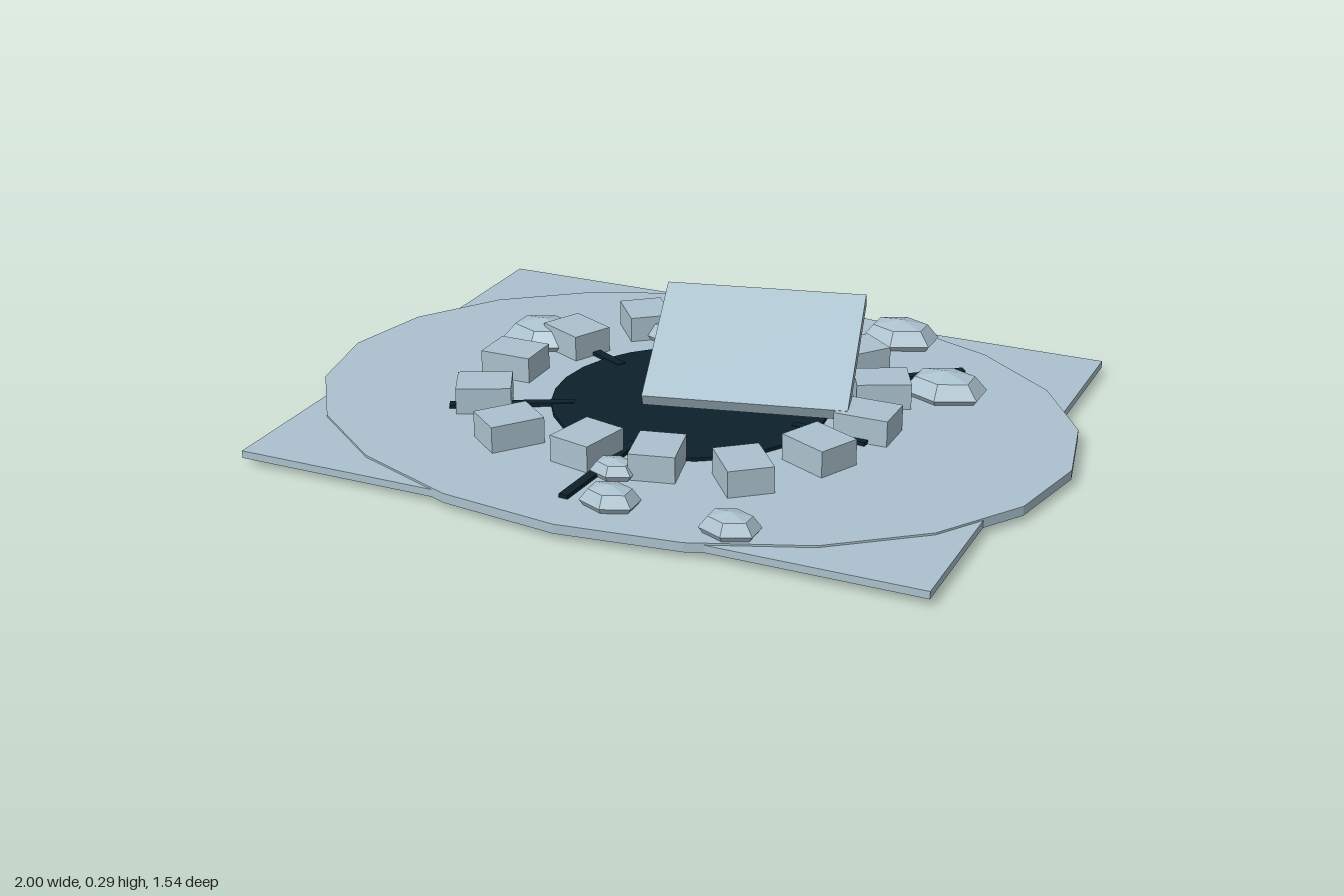
import * as THREE from 'three';

export function createModel() {
  const group = new THREE.Group();
  const stone = new THREE.MeshStandardMaterial({ color: 0xabc2ce });
  stone.name = 'pale blue stone';
  stone.flatShading = true;
  const dark = new THREE.MeshStandardMaterial({ color: 0x0d202b });
  dark.name = 'dark pit';

  function add(name, geometry, material, x, y, z, yaw = 0) {
    const mesh = new THREE.Mesh(geometry, material);
    mesh.name = name;
    mesh.position.set(x, y, z);
    mesh.rotation.y = yaw;
    group.add(mesh);
    return mesh;
  }

  // ground: rectangular plate with a wider oval slab over it
  add('groundPlate', new THREE.BoxGeometry(1.77, 0.019, 1.432), stone, 0, 0.0265, -0.002);
  const oval = new THREE.CylinderGeometry(1, 1, 0.024, 20);
  oval.scale(1, 1, 0.768);
  add('ovalSlab', oval, stone, 0, 0.029, 0);

  // dark opening and the cracks running out from it
  add('pit', new THREE.CylinderGeometry(0.36, 0.36, 0.009, 28), dark, 0, 0.0455, 0);
  const cracks = [[-0.17, -0.57], [0.575, -0.475], [0.5, 0.065], [-0.04, 0.64], [-0.55, 0.28], [-0.46, -0.24]];
  for (const [x, z] of cracks) {
    const end = Math.hypot(x, z), start = 0.3, mid = (start + end) / 2 / end;
    add('crack', new THREE.BoxGeometry(end - start, 0.01, 0.024), dark, x * mid, 0.047, z * mid, -Math.atan2(z, x));
  }

  // ring of blocks, each turned to face the centre
  const blocks = [
    [0.48, 0], [0.43, 0.205], [0.31, 0.39], [0.093, 0.405], [-0.093, 0.41], [-0.315, 0.395], [-0.475, 0.23],
    [-0.51, 0], [-0.435, -0.21], [-0.32, -0.405], [-0.09, -0.385], [0.096, -0.4], [0.305, -0.385], [0.44, -0.21],
  ];
  const blockGeometry = new THREE.BoxGeometry(0.14, 0.07, 0.115);
  for (const [x, z] of blocks) add('ringBlock', blockGeometry, stone, x, 0.074, z, -Math.atan2(z, x));

  // loose six-sided boulders: x, z, half width, half height
  const boulders = [
    [0.083, -0.588, 0.096, 0.053], [0.348, -0.615, 0.096, 0.053], [0.575, -0.315, 0.1, 0.053],
    [-0.222, -0.385, 0.08, 0.045], [-0.537, -0.22, 0.105, 0.055],
    [0.012, 0.475, 0.054, 0.033], [0.075, 0.625, 0.067, 0.04], [0.385, 0.642, 0.067, 0.04],
  ];
  const boulderGeometry = new THREE.SphereGeometry(1, 6, 4);
  boulderGeometry.rotateY(Math.PI / 6);
  for (const [x, z, w, h] of boulders) {
    add('boulder', boulderGeometry, stone, x, 0.055, z).scale.set(w / 0.866, h, w * 0.87);
  }

  // tilted lid, origin at the middle of its upper face
  const lidGeometry = new THREE.BoxGeometry(0.52, 0.034, 0.39);
  lidGeometry.translate(0, -0.017, 0);
  lidGeometry.rotateX(0.476);
  add('tiltedLid', lidGeometry, stone, 0.146, 0.199, -0.071, 0.235);

  return group;
}
